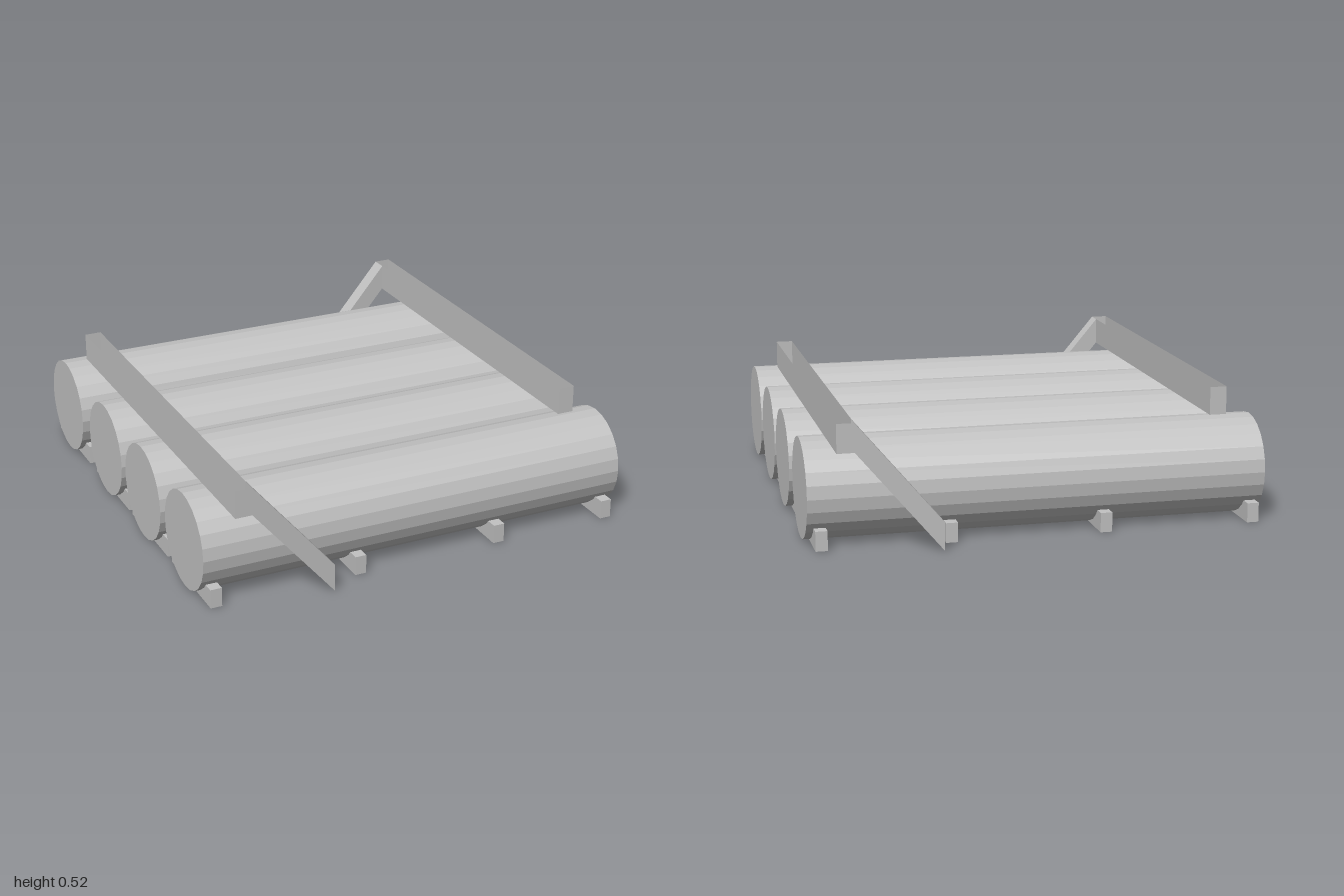
import * as THREE from 'three';

const steel = new THREE.MeshStandardMaterial({ color: 0xc2c2c2, side: THREE.DoubleSide });
steel.name = 'grey';

// Builds flat faces from lists of four corners each
function quads(name, faces) {
  const pos = [];
  for (const [a, b, c, d] of faces) pos.push(...a, ...b, ...c, ...a, ...c, ...d);
  const geo = new THREE.BufferGeometry();
  geo.setAttribute('position', new THREE.Float32BufferAttribute(pos, 3));
  geo.computeVertexNormals();
  const mesh = new THREE.Mesh(geo, steel);
  mesh.name = name;
  return mesh;
}

// Support block under a cylinder, open underneath
function supportBlock(x, z) {
  const w = 0.024, d = 0.207, h = 0.08;
  const base = [[-w, d], [w, d], [w, -d], [-w, -d]];
  const faces = base.map(([ax, az], i) => {
    const [bx, bz] = base[(i + 1) % 4];
    return [[ax, 0, az], [bx, 0, bz], [bx, h, bz], [ax, h, az]];
  });
  faces.push(base.map(([px, pz]) => [px, h, pz]));
  const block = quads('supportBlock', faces);
  block.position.set(x, 0, z);
  return block;
}

// Open-topped beam across the cylinders with a slanted brace at its front end
function bracedBeam() {
  const x0 = -0.832, x1 = -0.762, y0 = 0.409, y1 = 0.525;
  const zb = -0.704, zi = 0.934, zf = 1.0055;
  const xe = -0.416, ye = 0.115;
  const frame = new THREE.Group();
  frame.name = 'bracedBeam';
  frame.add(quads('beam', [
    [[x0, y0, zb], [x1, y0, zb], [x1, y0, zf], [x0, y0, zf]],  // underside
    [[x0, y0, zb], [x0, y0, zf], [x0, y1, zf], [x0, y1, zb]],  // outer wall
    [[x1, y0, zi], [x1, y0, zb], [x1, y1, zb], [x1, y1, zi]],  // inner wall, stops at the brace
    [[x0, y0, zf], [x1, y0, zf], [x1, y1, zf], [x0, y1, zf]],  // front end
    [[x1, y0, zb], [x0, y0, zb], [x0, y1, zb], [x1, y1, zb]],  // back end
  ]));
  frame.add(quads('brace', [
    [[x1, y0, zf], [xe, 0, zf], [xe, ye, zf], [x1, y1, zf]],   // front
    [[xe, 0, zi], [x1, y0, zi], [x1, y1, zi], [xe, ye, zi]],   // back
    [[x1, y1, zf], [xe, ye, zf], [xe, ye, zi], [x1, y1, zi]],  // upper slope
    [[x1, y0, zi], [xe, 0, zi], [xe, 0, zf], [x1, y0, zf]],    // lower slope
    [[xe, 0, zf], [xe, 0, zi], [xe, ye, zi], [xe, ye, zf]],    // foot
  ]));
  return frame;
}

export function createModel() {
  const model = new THREE.Group();
  model.name = 'cylinderRack';
  const rack = new THREE.Group();
  rack.name = 'rack';
  rack.rotation.y = -0.0075; // slightly askew
  model.add(rack);

  // Four faceted cylinders, each lying on four blocks
  const cylGeo = new THREE.CylinderGeometry(0.204, 0.204, 1.866, 24).toNonIndexed();
  cylGeo.computeVertexNormals();
  cylGeo.rotateZ(Math.PI / 2);
  for (const z of [-0.697, -0.193, 0.26, 0.719]) {
    const cylinder = new THREE.Mesh(cylGeo, steel);
    cylinder.name = 'cylinder';
    cylinder.position.set(0, 0.205, z);
    rack.add(cylinder);
    for (const x of [-0.885, -0.265, 0.365, 0.88]) rack.add(supportBlock(x, z));
  }

  // Two beams, the second turned half round
  for (const turn of [0, Math.PI]) {
    const beam = bracedBeam();
    beam.rotation.y = turn;
    rack.add(beam);
  }
  return model;
}
